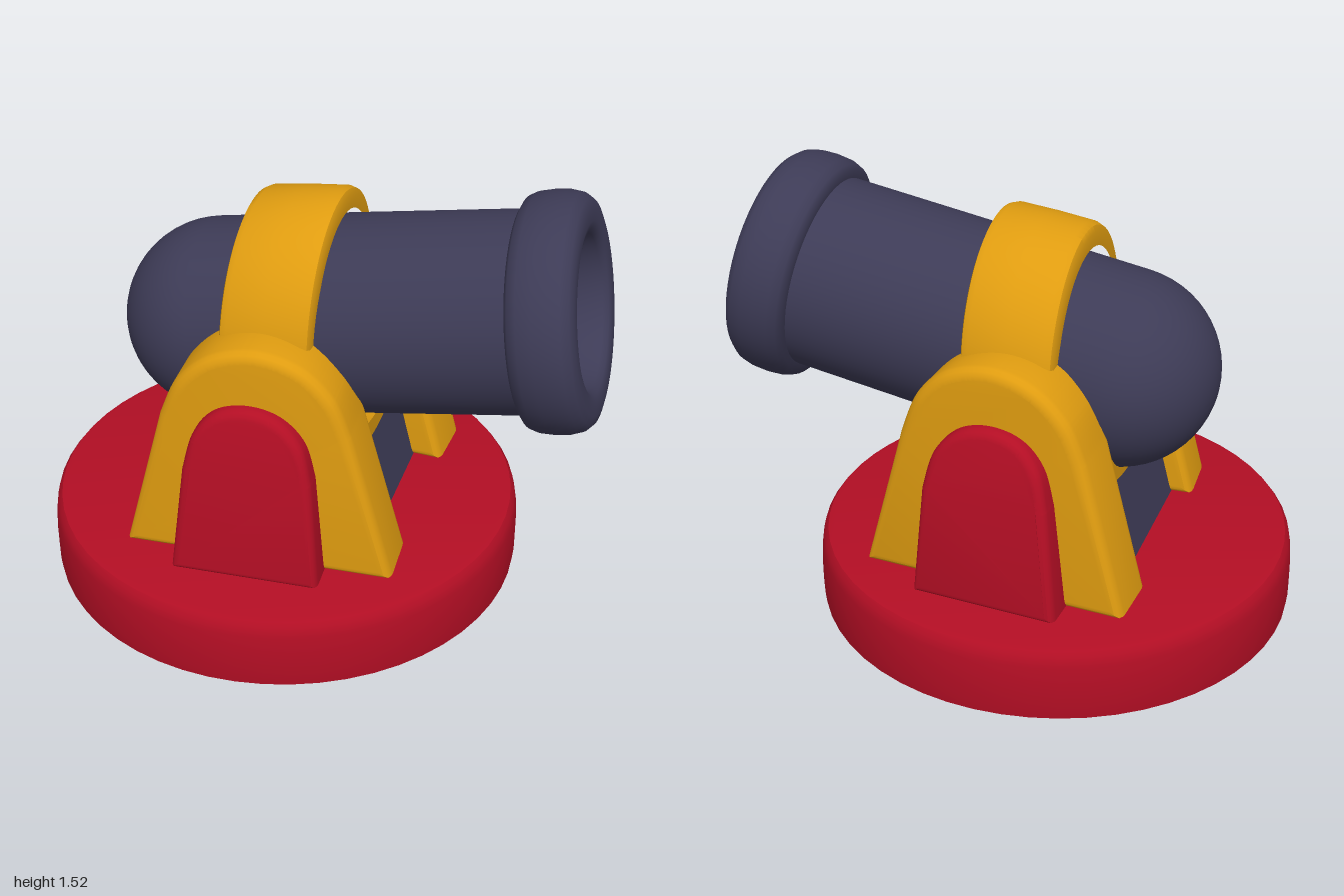
import * as THREE from 'three';
import { toCreasedNormals } from 'three/addons/utils/BufferGeometryUtils.js';

const mat = (name, color) => Object.assign(new THREE.MeshStandardMaterial({ color }), { name });
const v2 = (pts) => pts.map(([x, y]) => new THREE.Vector2(x, y));

function mesh(name, geometry, material) {
  const m = new THREE.Mesh(geometry, material);
  m.name = name;
  return m;
}

// Arch outline: straight leaning legs joined by a smooth crown
function archShape(bottom, left, right, crown) {
  const s = new THREE.Shape();
  s.moveTo(left, bottom);
  s.lineTo(crown[0][0], crown[0][1]);
  s.splineThru(v2(crown.slice(1)));
  s.lineTo(right, bottom);
  s.closePath();
  return s;
}

// Extrusion centred on z with rounded edges kept inside the outline
function slab(shape, thickness, z, bevel) {
  const g = new THREE.ExtrudeGeometry(shape, {
    depth: thickness - 2 * bevel, curveSegments: 24, bevelEnabled: true,
    bevelSize: bevel, bevelThickness: bevel, bevelOffset: -bevel, bevelSegments: 4,
  });
  return g.translate(0, 0, z - thickness / 2 + bevel);
}

export function createModel() {
  const red = mat('red', 0xb30e24);
  const gold = mat('gold', 0xdf9c10);
  const iron = mat('darkIron', 0x3d3b56);
  const shade = mat('boreGrey', 0x323237);
  const model = new THREE.Group();
  model.name = 'cannon';
  const midX = -0.145, midZ = -0.012;

  // Round base
  const base = mesh('base', toCreasedNormals(new THREE.LatheGeometry(v2([
    [0, 0], [0.851, 0], [0.855, 0.04], [0.855, 0.12], [0.85, 0.2], [0.842, 0.235],
    [0.828, 0.254], [0.805, 0.26], [0, 0.26],
  ]), 56), 0.6), red);
  base.position.x = midX;
  model.add(base);

  // Barrel with domed breech, muzzle ring and bore
  const barrel = new THREE.Group();
  barrel.name = 'barrel';
  const profile = [];
  for (let i = 0; i <= 14; i++) {
    const a = (i / 14) * Math.PI / 2;
    profile.push([0.345 * Math.sin(a), -0.345 * Math.cos(a)]);
  }
  profile.push([0.345, 0.6], [0.345, 1.105], [0.37, 1.107], [0.39, 1.12], [0.402, 1.15], [0.407, 1.2],
    [0.405, 1.25], [0.395, 1.29], [0.375, 1.315], [0.345, 1.325], [0.3, 1.325],
    [0.275, 1.318], [0.262, 1.3], [0.26, 1.17]);
  barrel.add(mesh('barrelShell', toCreasedNormals(new THREE.LatheGeometry(v2(profile), 56), 0.7), iron));
  const bore = mesh('boreEnd', new THREE.CircleGeometry(0.262, 48).rotateX(-Math.PI / 2), shade);
  bore.position.y = 1.172;
  barrel.add(bore);
  barrel.position.set(-0.375, 0.908, midZ);
  barrel.rotation.z = -Math.PI / 2 + THREE.MathUtils.degToRad(10);
  model.add(barrel);

  // Strap over the barrel: a half ring, taller than wide, sloping with the barrel
  const strapGeo = new THREE.LatheGeometry(v2([
    [0.33, -0.16], [0.375, -0.16], [0.392, -0.152], [0.4, -0.13], [0.402, 0], [0.4, 0.13],
    [0.392, 0.152], [0.375, 0.16], [0.33, 0.16],
  ]), 40, Math.PI, Math.PI);
  strapGeo.rotateZ(-Math.PI / 2);
  const p = strapGeo.attributes.position;
  for (let i = 0; i < p.count; i++) p.setY(i, p.getY(i) * 1.13 + p.getX(i) * 0.13);
  const strap = mesh('strap', toCreasedNormals(strapGeo, 0.7), gold);
  strap.position.set(-0.095, 0.965, midZ);
  model.add(strap);

  // Side supports with raised panels, one on each side of the barrel
  const arch = archShape(0.25, -0.45, 0.505, [
    [-0.305, 0.8], [-0.24, 0.945], [-0.125, 1.05], [0.03, 1.09], [0.185, 1.05], [0.295, 0.945], [0.355, 0.8],
  ]);
  const panel = archShape(0.25, -0.25, 0.27, [
    [-0.205, 0.65], [-0.17, 0.78], [-0.095, 0.865], [0.015, 0.893], [0.125, 0.865], [0.205, 0.78], [0.24, 0.65],
  ]);
  for (const [label, side] of [['front', 1], ['back', -1]]) {
    const support = new THREE.Group();
    support.name = label + 'Support';
    const panelGeo = slab(panel, 0.175, side * 0.5475, 0.03);
    const q = panelGeo.attributes.position;
    for (let i = 0; i < q.count; i++) {
      // Outer face leans inward toward the top
      const z = q.getZ(i);
      if (z * side > 0.55) q.setZ(i, z - side * 0.07 * ((q.getY(i) - 0.25) / 0.64) ** 2);
    }
    support.add(
      mesh(label + 'Arch', toCreasedNormals(slab(arch, 0.245, side * 0.4025, 0.04), 0.6), gold),
      mesh(label + 'Panel', toCreasedNormals(panelGeo, 0.6), red),
    );
    // Slight splay toward the breech
    support.rotation.y = side * 0.06;
    support.position.set(midX, 0, midZ);
    model.add(support);
  }

  // Block between the supports, narrowing upward
  const blockShape = new THREE.Shape(v2([[-0.5, 0.25], [0.27, 0.25], [0.18, 0.605], [-0.41, 0.605]]));
  const block = mesh('innerBlock', new THREE.ExtrudeGeometry(blockShape, { depth: 0.64, bevelEnabled: false }), iron);
  block.position.z = midZ - 0.32;
  model.add(block);

  // Curved saddle cradling the barrel, swept along x
  const saddleShape = new THREE.Shape();
  saddleShape.moveTo(-0.34, 0.63);
  saddleShape.quadraticCurveTo(0, 0.47, 0.34, 0.63);
  saddleShape.lineTo(0.34, 0.74);
  saddleShape.quadraticCurveTo(0, 0.5, -0.34, 0.74);
  const saddleGeo = new THREE.ExtrudeGeometry(saddleShape, { depth: 0.63, curveSegments: 20, bevelEnabled: false });
  saddleGeo.rotateY(Math.PI / 2);
  const saddle = mesh('saddle', toCreasedNormals(saddleGeo, 0.6), gold);
  saddle.position.set(-0.43, 0, midZ);
  model.add(saddle);

  return model;
}
